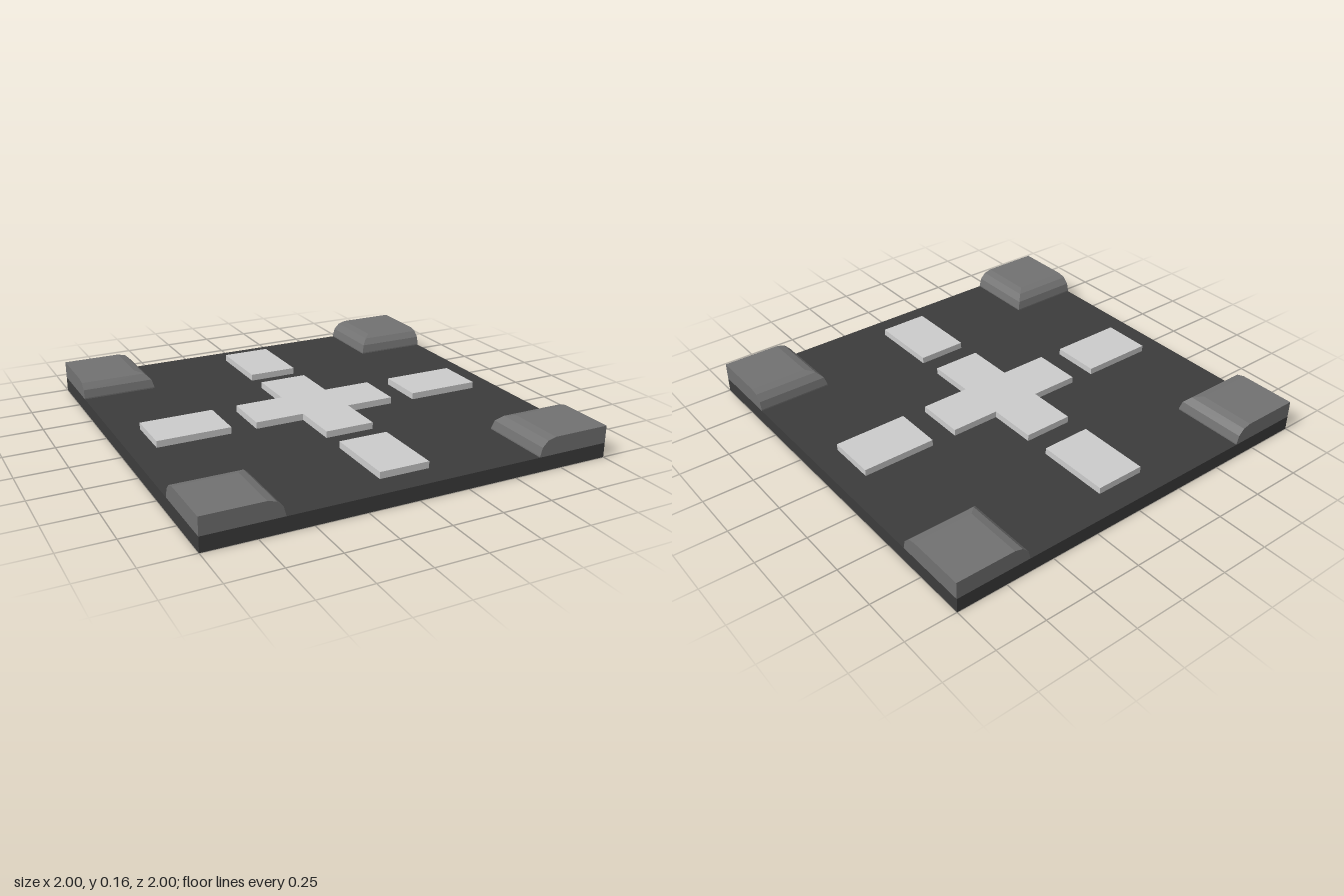
import * as THREE from 'three';

const BASE_TOP = 0.072, MARK_TOP = 0.105, CURB_TOP = 0.158;

function material(color) {
  return new THREE.MeshStandardMaterial({ color, flatShading: true });
}

// Corner block: square rings stacked along a rounded profile on the two inner sides
function cornerGeometry(inner, radius, steps) {
  const profile = [[inner, BASE_TOP]];
  for (let i = 0; i <= steps; i++) {
    const a = (i / steps) * Math.PI / 2;
    profile.push([inner + radius * (1 - Math.cos(a)), CURB_TOP - radius * (1 - Math.sin(a))]);
  }
  const positions = [], index = [];
  for (const [d, y] of profile) positions.push(d, y, d, 1, y, d, 1, y, 1, d, y, 1);
  for (let r = 0; r < profile.length - 1; r++) {
    for (let k = 0; k < 4; k++) {
      const a = r * 4 + k, b = r * 4 + (k + 1) % 4;
      index.push(a, a + 4, b, b, a + 4, b + 4);
    }
  }
  const t = (profile.length - 1) * 4;
  index.push(t, t + 3, t + 2, t, t + 2, t + 1); // top
  index.push(0, 1, 2, 0, 2, 3); // underside
  const indexed = new THREE.BufferGeometry();
  indexed.setAttribute('position', new THREE.Float32BufferAttribute(positions, 3));
  indexed.setIndex(index);
  const geometry = indexed.toNonIndexed();
  geometry.computeVertexNormals();
  return geometry;
}

// Plus-shaped slab lying on the road
function crossGeometry(arm, half) {
  const points = [];
  for (let q = 0; q < 4; q++) {
    const c = Math.round(Math.cos(q * Math.PI / 2)), s = Math.round(Math.sin(q * Math.PI / 2));
    for (const [x, y] of [[arm, -half], [arm, half], [half, half]]) {
      points.push(new THREE.Vector2(x * c - y * s, x * s + y * c));
    }
  }
  const geometry = new THREE.ExtrudeGeometry(new THREE.Shape(points), {
    depth: MARK_TOP - BASE_TOP, bevelEnabled: false,
  });
  return geometry.rotateX(-Math.PI / 2).translate(0, BASE_TOP, 0);
}

export function createModel() {
  const model = new THREE.Group();
  model.name = 'crossroadTile';
  const asphalt = material(0x3c3c3c), pavement = material(0x717171), paint = material(0xcccccc);

  const add = (name, geometry, mat, turn = 0) => {
    const mesh = new THREE.Mesh(geometry, mat);
    mesh.name = name;
    mesh.rotation.y = turn;
    model.add(mesh);
  };

  // Road slab
  add('roadBase', new THREE.BoxGeometry(2, BASE_TOP, 2).translate(0, BASE_TOP / 2, 0), asphalt);

  // Centre marking
  add('centreCross', crossGeometry(0.372, 0.124), paint);

  // Lane dashes and pavement corners, one per quarter turn
  const dash = new THREE.BoxGeometry(0.37, MARK_TOP - BASE_TOP, 0.248)
    .translate(0.685, (MARK_TOP + BASE_TOP) / 2, 0);
  const corner = cornerGeometry(0.628, 0.08, 3);
  for (let i = 0; i < 4; i++) {
    add('laneDash' + (i + 1), dash, paint, i * Math.PI / 2);
    add('pavementCorner' + (i + 1), corner, pavement, i * Math.PI / 2);
  }
  return model;
}
